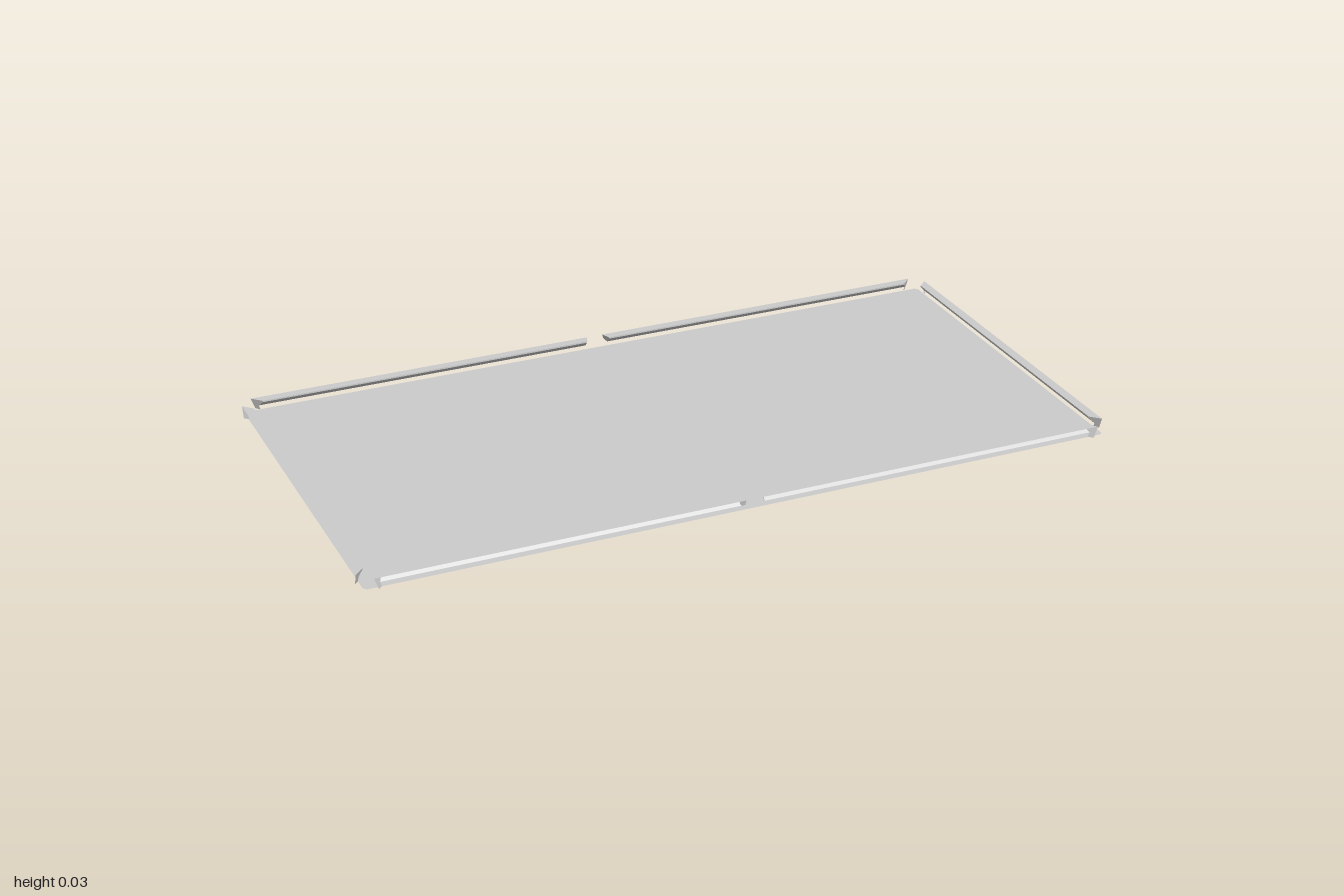
import * as THREE from 'three';

const material = new THREE.MeshStandardMaterial({
  color: 0xcccccc, flatShading: true, side: THREE.DoubleSide,
});
const TOP = 0.03;

// Cross-section as [depth inward from the outer edge, height]
const shell = [[0, TOP], [0.025, TOP], [0.025, 0.026], [0.011, 0.012]];
const cornerFacing = [...shell, [0.011, 0], [0, 0]];
const middleFacing = [...shell, [0, 0.018]];

const corner = (x) => ({ x, flare: 1, lean: 0.35, facing: cornerFacing });
const middle = (x) => ({ x, flare: 0.4, lean: 0.3, facing: middleFacing });

// A rail along x, open at the back, closed by an angled facing at each end
function railGeometry(left, right, outer) {
  const positions = [];
  const tri = (...points) => points.forEach((p) => positions.push(...p));
  const place = (end, side) => ([d, y]) =>
    [end.x - side * (end.flare * d + end.lean * (TOP - y)), y, outer - d];
  const atLeft = place(left, -1);
  const atRight = place(right, 1);

  for (let i = 0; i < shell.length - 1; i++) {
    const a = shell[i], b = shell[i + 1];
    tri(atLeft(a), atRight(a), atRight(b));
    tri(atLeft(a), atRight(b), atLeft(b));
  }
  for (const [at, facing, flip] of [[atLeft, left.facing, false], [atRight, right.facing, true]]) {
    const p = facing.map(at);
    for (let i = 1; i < p.length - 1; i++) {
      if (flip) tri(p[0], p[i + 1], p[i]);
      else tri(p[0], p[i], p[i + 1]);
    }
  }
  const geometry = new THREE.BufferGeometry();
  geometry.setAttribute('position', new THREE.Float32BufferAttribute(positions, 3));
  geometry.computeVertexNormals();
  return geometry;
}

export function createModel() {
  const model = new THREE.Group();
  const add = (name, geometry, turn = 0) => {
    const mesh = new THREE.Mesh(geometry, material);
    mesh.name = name;
    mesh.rotation.y = turn;
    model.add(mesh);
  };

  // Flat bed with slightly clipped corners
  const w = 0.99, h = 0.502, c = 0.008;
  const outline = [[w, h - c], [w - c, h], [c - w, h], [-w, h - c],
    [-w, c - h], [c - w, -h], [w - c, -h], [w, c - h]];
  const bed = new THREE.ShapeGeometry(new THREE.Shape(outline.map(([x, y]) => new THREE.Vector2(x, y))));
  bed.rotateX(-Math.PI / 2);
  add('bed', bed);

  // Two cushions on each long side, parted at the middle
  const leftHalf = railGeometry(middle(0.022), corner(0.967), 0.512);
  const rightHalf = railGeometry(corner(-0.967), middle(-0.022), 0.512);
  add('frontLeftCushion', leftHalf);
  add('frontRightCushion', rightHalf);
  add('backRightCushion', leftHalf, Math.PI);
  add('backLeftCushion', rightHalf, Math.PI);

  // One cushion on each short side
  const endRail = railGeometry(corner(-0.478), corner(0.478), 1);
  add('leftEndCushion', endRail, Math.PI / 2);
  add('rightEndCushion', endRail, -Math.PI / 2);

  return model;
}
